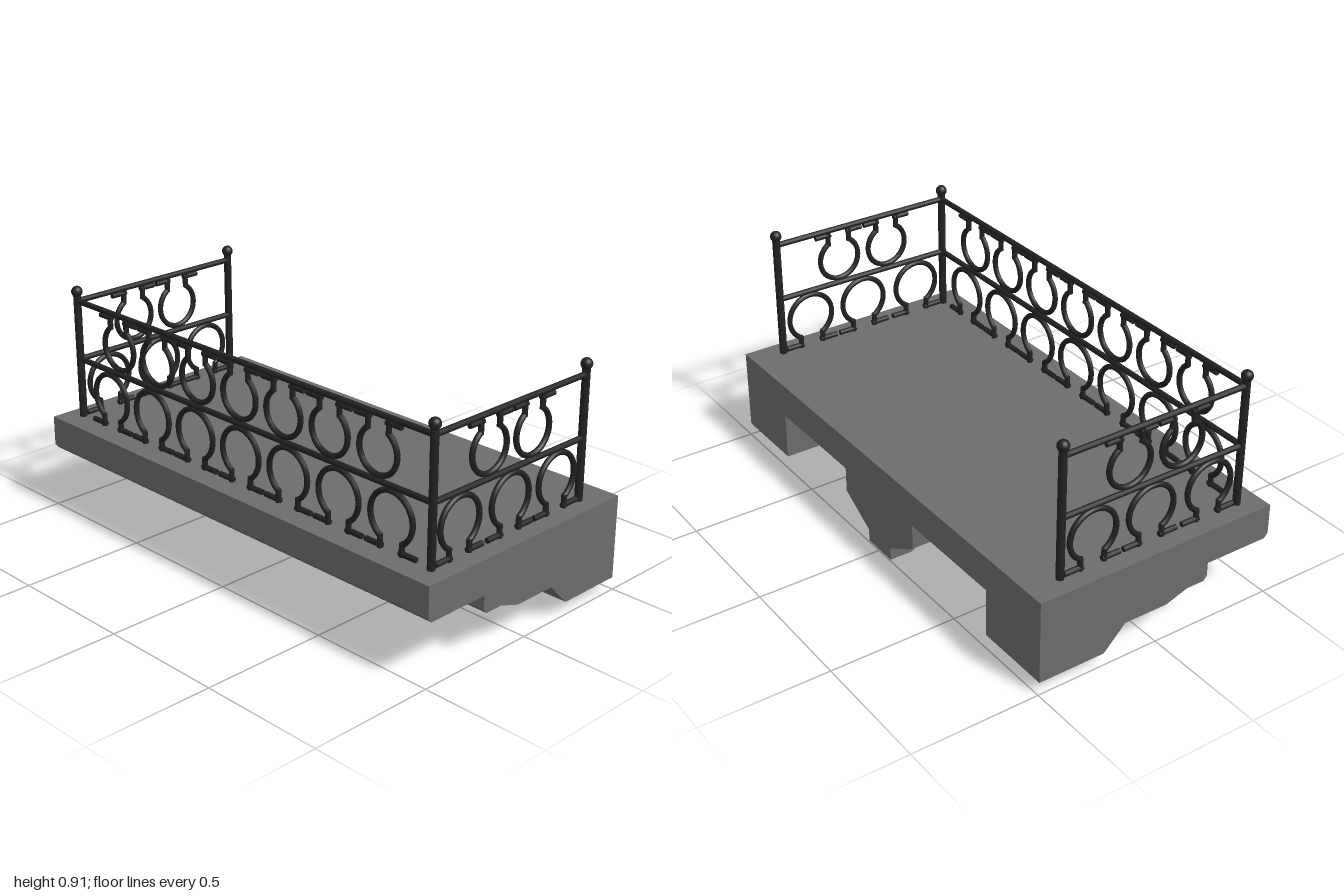
import * as THREE from 'three';

const stone = new THREE.MeshStandardMaterial({ color: 0x6c6c6c, flatShading: true });
const iron = new THREE.MeshStandardMaterial({ color: 0x222222 });

function add(parent, name, geometry, material, x = 0, y = 0, z = 0) {
  const mesh = new THREE.Mesh(geometry, material);
  mesh.name = name;
  mesh.position.set(x, y, z);
  parent.add(mesh);
  return mesh;
}

// Side profile (x, y) extruded along z
function profileGeometry(points, z0, z1) {
  const shape = new THREE.Shape(points.map(([x, y]) => new THREE.Vector2(x, y)));
  const g = new THREE.ExtrudeGeometry(shape, { depth: z1 - z0, bevelEnabled: false });
  return g.translate(0, 0, z0);
}

// Central corbel: a stepped section lofted from the front face inwards
function corbelGeometry() {
  // x, shoulder height, neck height, lowest height
  const stations = [
    [0.495, 0.14, 0.05, 0], [0.405, 0.14, 0.05, 0], [0.315, 0.14, 0.05, 0.05],
    [0.27, 0.14, 0.06, 0.06], [0.225, 0.14, 0.09, 0.09], [0.18, 0.14, 0.125, 0.125],
    [0.14, 0.15, 0.15, 0.15], [0.1, 0.17, 0.17, 0.17], [0.055, 0.17, 0.17, 0.17],
    [0.04, 0.19, 0.19, 0.19]
  ];
  const loops = stations.map(([x, s, t, b]) => {
    const half = [[0.23, 0.245], [0.23, s], [0.075, t], [0.075, b]];
    const mirrored = half.map(([z, y]) => [-z, y]).reverse();
    return [...half, ...mirrored].map(([z, y]) => new THREE.Vector3(x, y, z));
  });
  const pts = [];
  for (let i = 0; i < loops.length - 1; i++) {
    const a = loops[i], b = loops[i + 1];
    for (let j = 0; j < a.length; j++) {
      const k = (j + 1) % a.length;
      pts.push(a[j], b[j], b[k], a[j], b[k], a[k]);
    }
  }
  const first = loops[0], last = loops[loops.length - 1];
  const caps = THREE.ShapeUtils.triangulateShape(first.map(p => new THREE.Vector2(-p.z, p.y)), []);
  for (const [i, j, k] of caps) pts.push(first[i], first[j], first[k], last[k], last[j], last[i]);
  const g = new THREE.BufferGeometry().setFromPoints(pts);
  g.computeVertexNormals();
  return g;
}

function rod(parent, name, radius, from, to) {
  const a = new THREE.Vector3(...from), b = new THREE.Vector3(...to);
  const mesh = add(parent, name, new THREE.CylinderGeometry(radius, radius, a.distanceTo(b), 12), iron);
  mesh.position.copy(a).add(b).multiplyScalar(0.5);
  mesh.quaternion.setFromUnitVectors(new THREE.Vector3(0, 1, 0), b.sub(a).normalize());
  return mesh;
}

// Open ring on two legs with outward feet; origin at the ring centre
function hoop(ring, leg, foot, footY) {
  const g = new THREE.Group();
  const r = 0.0105, gap = Math.asin(leg / ring);
  const arc = new THREE.TorusGeometry(ring, r, 8, 40, Math.PI * 2 - gap * 2);
  arc.rotateZ(-Math.PI / 2 + gap);
  add(g, 'ring', arc, iron);
  for (const s of [-1, 1]) {
    rod(g, 'leg', r, [s * leg, -Math.cos(gap) * ring + 0.006, 0], [s * leg, footY - r, 0]);
    rod(g, 'foot', r, [s * (leg - r), footY, 0], [s * foot, footY, 0]);
  }
  return g;
}

// Railing panel along x, with lower hoops standing and upper hoops hanging
function panel(name, x0, x1, lower, upper) {
  const g = new THREE.Group();
  g.name = name;
  rod(g, 'topRail', 0.011, [x0, 0.85, 0], [x1, 0.85, 0]);
  rod(g, 'middleRail', 0.011, [x0, 0.614, 0], [x1, 0.614, 0]);
  for (const x of lower) {
    const h = hoop(0.096, 0.05, 0.115, -0.115);
    h.name = 'lowerHoop';
    h.position.set(x, 0.5, 0);
    g.add(h);
  }
  for (const x of upper) {
    const h = hoop(0.086, 0.047, 0.104, -0.111);
    h.name = 'upperHoop';
    h.position.set(x, 0.72, 0);
    h.rotation.z = Math.PI;
    g.add(h);
  }
  return g;
}

export function createModel() {
  const model = new THREE.Group();
  model.name = 'balcony';

  // Floor slab with a small chamfer under the rear edge
  add(model, 'slab', profileGeometry([
    [-0.495, 0.375], [-0.495, 0.258], [-0.48, 0.24], [0.495, 0.24], [0.495, 0.375]
  ], -1, 1), stone);

  // Stepped brackets at both ends and the corbel between them
  const bracket = [
    [-0.22, 0.245], [-0.22, 0.187], [-0.206, 0.17], [-0.132, 0.17], [-0.042, 0.14],
    [0.138, 0.14], [0.226, 0.05], [0.495, 0.05], [0.495, 0.245]
  ];
  add(model, 'leftBracket', profileGeometry(bracket, 0.692, 1), stone);
  add(model, 'rightBracket', profileGeometry(bracket, -1, -0.692), stone);
  add(model, 'centralCorbel', corbelGeometry(), stone);

  // Corner posts with ball finials
  const xBack = -0.404, xFront = 0.363, zEnd = 0.925;
  for (const x of [xBack, xFront]) {
    for (const z of [-zEnd, zEnd]) {
      rod(model, 'post', 0.015, [x, 0.37, z], [x, 0.88, z]);
      add(model, 'finial', new THREE.SphereGeometry(0.022, 20, 14), iron, x, 0.888, z);
    }
  }

  // Two short end panels and one long panel
  for (const s of [-1, 1]) {
    const end = panel('endRailing', xBack, xFront, [-0.269, -0.015, 0.23], [-0.134, 0.087]);
    end.position.z = s * zEnd;
    model.add(end);
  }
  const seven = [-3, -2, -1, 0, 1, 2, 3];
  const long = panel('longRailing', -zEnd, zEnd, seven.map(i => i * 0.247 + 0.003), seven.map(i => i * 0.226 + 0.002));
  long.rotation.y = -Math.PI / 2;
  long.position.x = xBack;
  model.add(long);

  return model;
}
